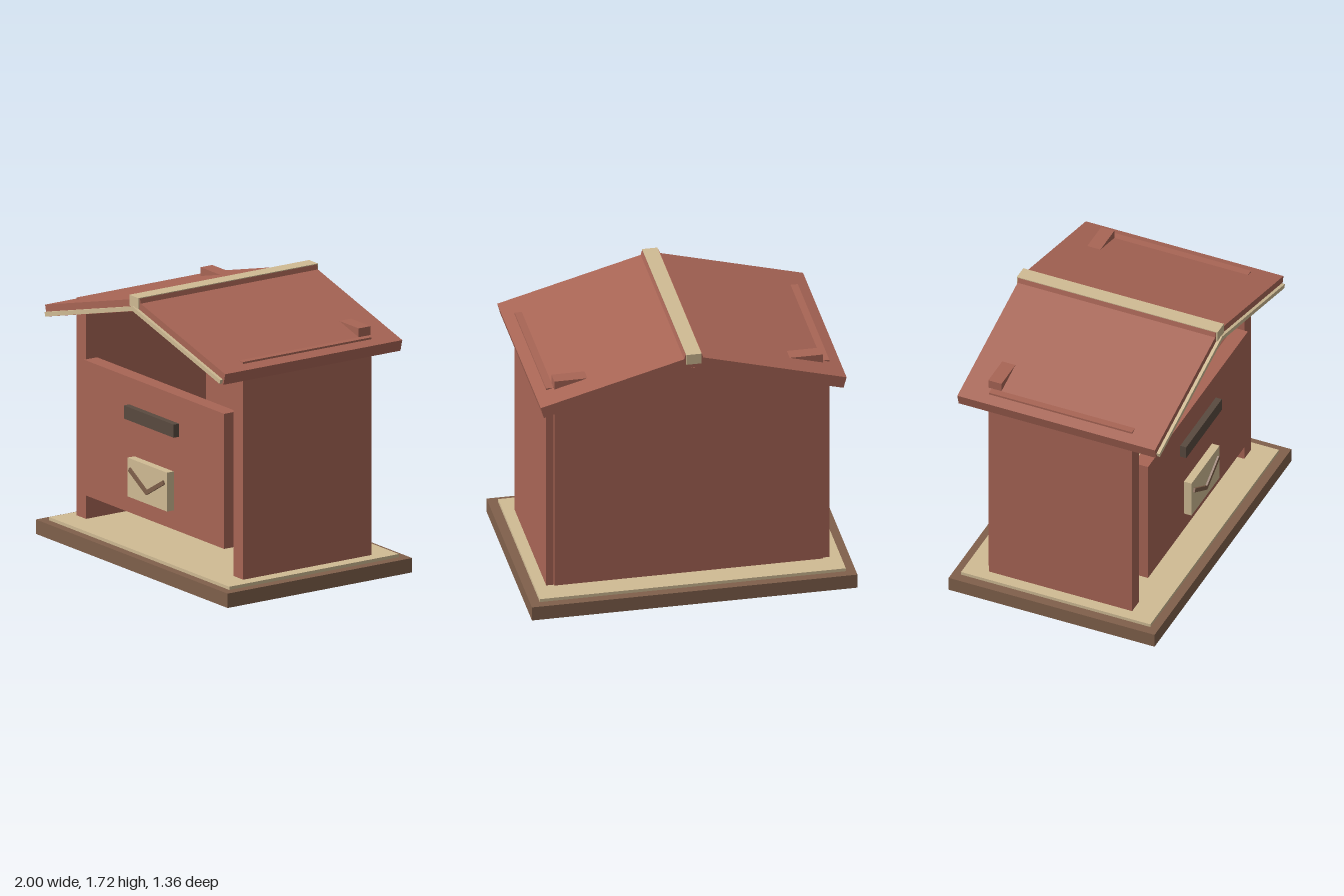
import * as THREE from 'three';

const mat = (name, color) => {
  const m = new THREE.MeshStandardMaterial({ color });
  m.name = name;
  return m;
};

export function createModel() {
  const red = mat('brick red', 0xa86555);
  const cream = mat('cream', 0xd0bb94);
  const brown = mat('wood brown', 0x80604b);
  const dark = mat('dark slot', 0x594a3f);
  const model = new THREE.Group();
  model.name = 'mailbox';

  // Box given by its lower and upper limits
  const box = (name, material, x0, x1, y0, y1, z0, z1) => {
    const mesh = new THREE.Mesh(new THREE.BoxGeometry(x1 - x0, y1 - y0, z1 - z0), material);
    mesh.position.set((x0 + x1) / 2, (y0 + y1) / 2, (z0 + z1) / 2);
    mesh.name = name;
    model.add(mesh);
    return mesh;
  };

  // Sloping bar: its centre line runs from (xa, ya) to (xb, yb)
  const bar = (name, material, xa, ya, xb, yb, thick, z0, z1) => {
    const length = Math.hypot(xb - xa, yb - ya);
    const mx = (xa + xb) / 2, my = (ya + yb) / 2;
    const mesh = box(name, material, mx - length / 2, mx + length / 2,
      my - thick / 2, my + thick / 2, z0, z1);
    mesh.rotation.z = Math.atan2(yb - ya, xb - xa);
  };

  // Base and floor
  box('base', brown, -1, 1, 0, 0.09, -0.68, 0.68);
  box('floor', cream, -0.94, 0.94, 0.09, 0.11, -0.625, 0.625);

  // Back wall and hanging front panel
  box('backWall', red, -0.825, 0.825, 0.12, 1.53, -0.497, -0.41);
  box('frontPanel', red, -0.73, 0.73, 0.28, 1.125, 0.42, 0.515);

  // Slot and envelope plate
  box('slot', dark, -0.26, 0.26, 0.873, 0.955, 0.51, 0.555);
  box('envelope', cream, -0.205, 0.205, 0.4, 0.643, 0.51, 0.565);

  // Mirrored side walls, envelope flap lines, overlapping roof slabs and trim
  for (const s of [-1, 1]) {
    const side = s < 0 ? 'right' : 'left';
    box(side + 'Wall', red, s * 0.82 - 0.05, s * 0.82 + 0.05, 0.113, 1.475, -0.473, 0.473);
    bar(side + 'EnvelopeLine', brown, s * -0.005, 0.469, s * 0.18, 0.577, 0.026, 0.56, 0.577);
    bar(side + 'RoofSlab', red, s * -0.06, 1.676, s * 0.93, 1.409, 0.073, -0.65, 0.655);
    bar(side + 'RoofTrim', cream, s * -0.005, 1.641, s * 0.913, 1.393, 0.027, 0.645, 0.675);
  }

  // Ridge cap
  box('ridgeCap', cream, -0.047, 0.047, 1.648, 1.715, -0.66, 0.665);

  return model;
}
